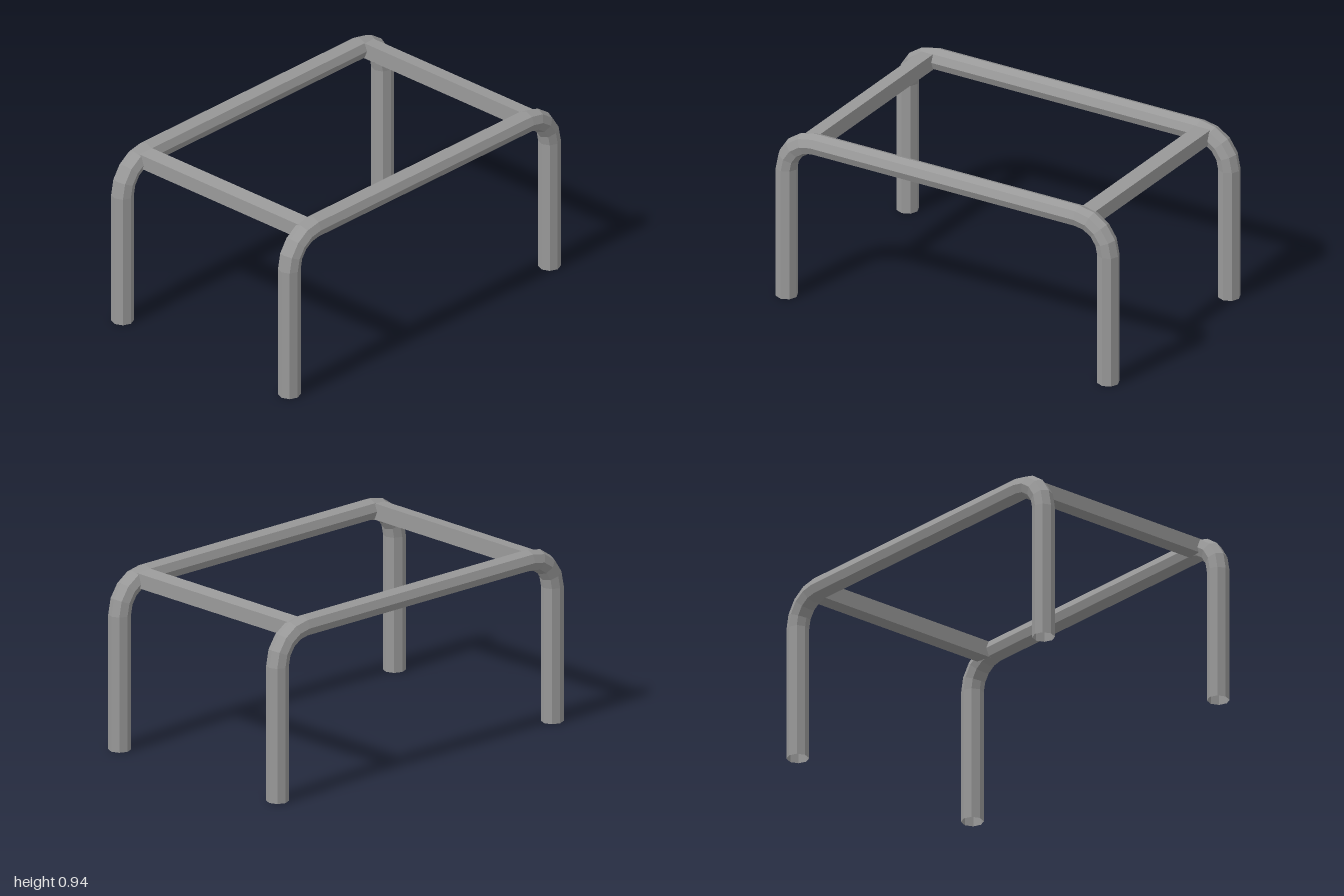
import * as THREE from 'three';

const R = 0.057;     // tube radius
const BEND = 0.17;   // bend radius on the tube centre line
const SIDES = 8;
const STEPS = 4;     // segments per bend

// Octagonal tube swept up one leg, along the rail and down the other leg
function hoopGeometry() {
  const stations = [{ z: 0.943, y: 0, a: 0 }];
  for (const side of [1, -1]) {
    for (let i = 0; i <= STEPS; i++) {
      const a = (i / STEPS + (side < 0 ? 1 : 0)) * Math.PI / 2;
      stations.push({ z: side * 0.773 + BEND * Math.cos(a), y: 0.708 + BEND * Math.sin(a), a });
    }
  }
  stations.push({ z: -0.943, y: 0, a: Math.PI });

  const positions = [];
  const index = [];
  stations.forEach(({ z, y, a }, i) => {
    for (let j = 0; j < SIDES; j++) {
      const t = (j / SIDES) * Math.PI * 2;
      const out = R * Math.sin(t);
      positions.push(R * Math.cos(t), y + out * Math.sin(a), z + out * Math.cos(a));
      if (i < stations.length - 1) {
        const k = (j + 1) % SIDES;
        const p = i * SIDES + j, q = i * SIDES + k;
        index.push(p, p + SIDES, q, q, p + SIDES, q + SIDES);
      }
    }
  });
  const geometry = new THREE.BufferGeometry();
  geometry.setAttribute('position', new THREE.Float32BufferAttribute(positions, 3));
  geometry.setIndex(index);
  const flat = geometry.toNonIndexed(); // faceted normals
  flat.computeVertexNormals();
  return flat;
}

// Crossbar whose top slopes gently down towards the end of the frame
function crossbarGeometry() {
  const geometry = new THREE.BoxGeometry(1.11, 0.085, 0.08);
  const pos = geometry.attributes.position;
  for (let i = 0; i < pos.count; i++) {
    if (pos.getY(i) > 0 && pos.getZ(i) > 0) pos.setY(i, pos.getY(i) - 0.009);
  }
  geometry.computeVertexNormals();
  return geometry;
}

export function createModel() {
  const model = new THREE.Group();
  model.name = 'tubeFrame';
  const metal = new THREE.MeshStandardMaterial({ color: 0x999999, side: THREE.DoubleSide });
  metal.name = 'grey metal';

  // Two bent side hoops with open feet
  const hoop = hoopGeometry();
  for (const side of [1, -1]) {
    const mesh = new THREE.Mesh(hoop, metal);
    mesh.name = side > 0 ? 'leftHoop' : 'rightHoop';
    mesh.position.x = side * 0.573;
    model.add(mesh);
  }

  // Two crossbars joining the hoops
  const bar = crossbarGeometry();
  for (const side of [1, -1]) {
    const mesh = new THREE.Mesh(bar, metal);
    mesh.name = side > 0 ? 'frontCrossbar' : 'backCrossbar';
    mesh.position.set(0, 0.8755, side * 0.81);
    if (side < 0) mesh.rotation.y = Math.PI;
    model.add(mesh);
  }
  return model;
}
